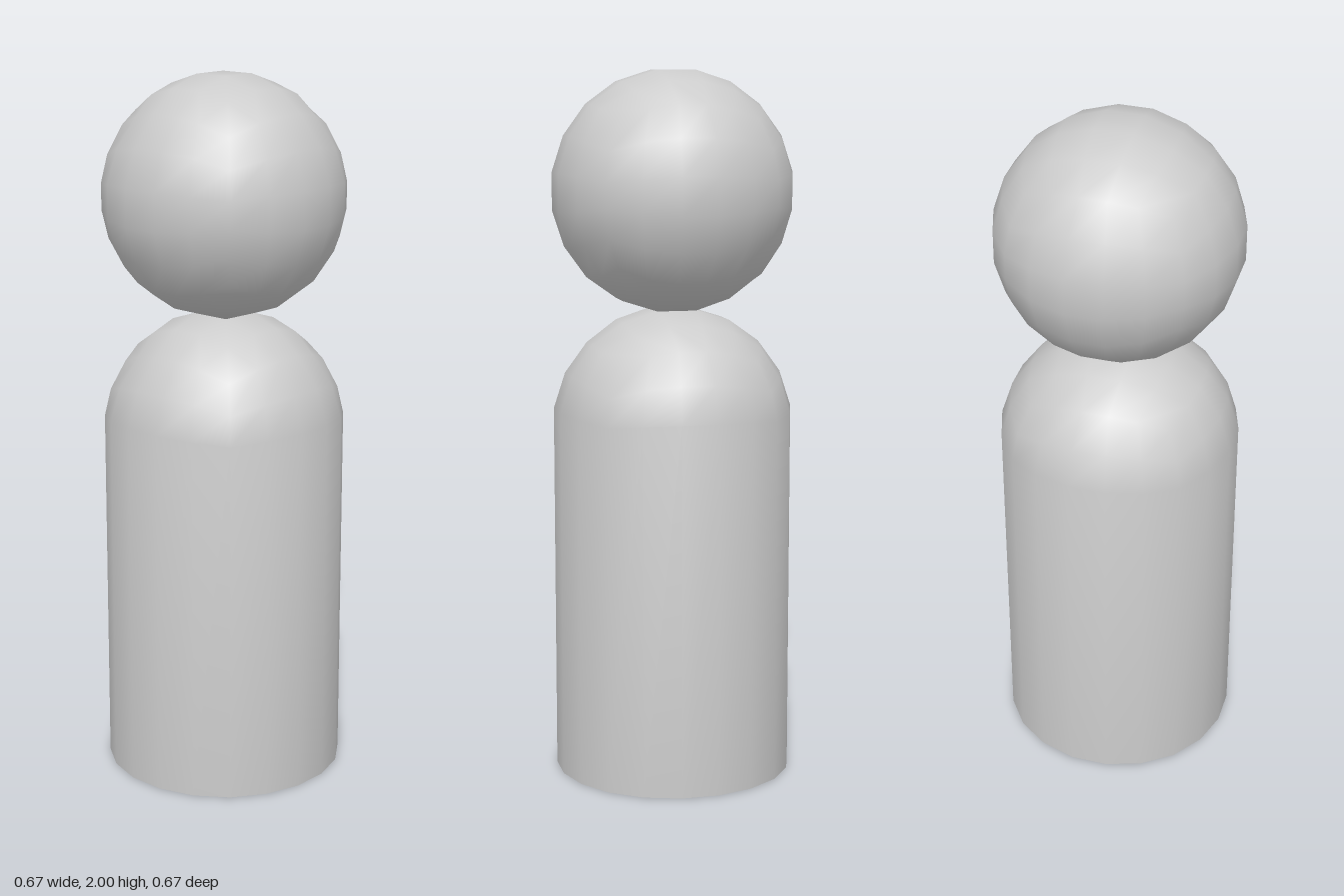
import * as THREE from 'three';
import { toCreasedNormals } from 'three/addons/utils/BufferGeometryUtils.js';

const HALF = 0.335;        // half width of head and body
const HEAD_Y = 2 - HALF;   // centre of the head
const DOME_Y = 0.998;      // centre of the shoulder dome

// Cube with 5 divisions per side, spread into a sphere with equal angles
function roundedCube() {
  const geometry = new THREE.BoxGeometry(2, 2, 2, 5, 5, 5);
  const position = geometry.attributes.position;
  const bend = (c) => Math.tan((Math.round(c * 5) / 5) * Math.PI / 4);
  const flat = Math.tan(Math.PI / 20);
  const radius = HALF * Math.sqrt(1 + 2 * flat * flat);
  const v = new THREE.Vector3();
  for (let i = 0; i < position.count; i++) {
    v.fromBufferAttribute(position, i);
    v.set(bend(v.x), bend(v.y), bend(v.z)).setLength(radius);
    position.setXYZ(i, v.x, v.y, v.z);
  }
  return geometry;
}

export function createModel() {
  const group = new THREE.Group();
  const material = new THREE.MeshStandardMaterial({ color: 0xcccccc });

  // Head: the full ball
  const head = new THREE.Mesh(toCreasedNormals(roundedCube(), Math.PI / 3), material);
  head.name = 'head';
  head.position.y = HEAD_Y;
  group.add(head);

  // Body: the ball with its lower half pushed flat onto the ground
  const bodyGeometry = roundedCube();
  const p = bodyGeometry.attributes.position;
  for (let i = 0; i < p.count; i++) {
    p.setY(i, p.getY(i) < 0 ? 0 : p.getY(i) + DOME_Y);
  }
  const body = new THREE.Mesh(toCreasedNormals(bodyGeometry, Math.PI / 3), material);
  body.name = 'body';
  group.add(body);

  return group;
}
